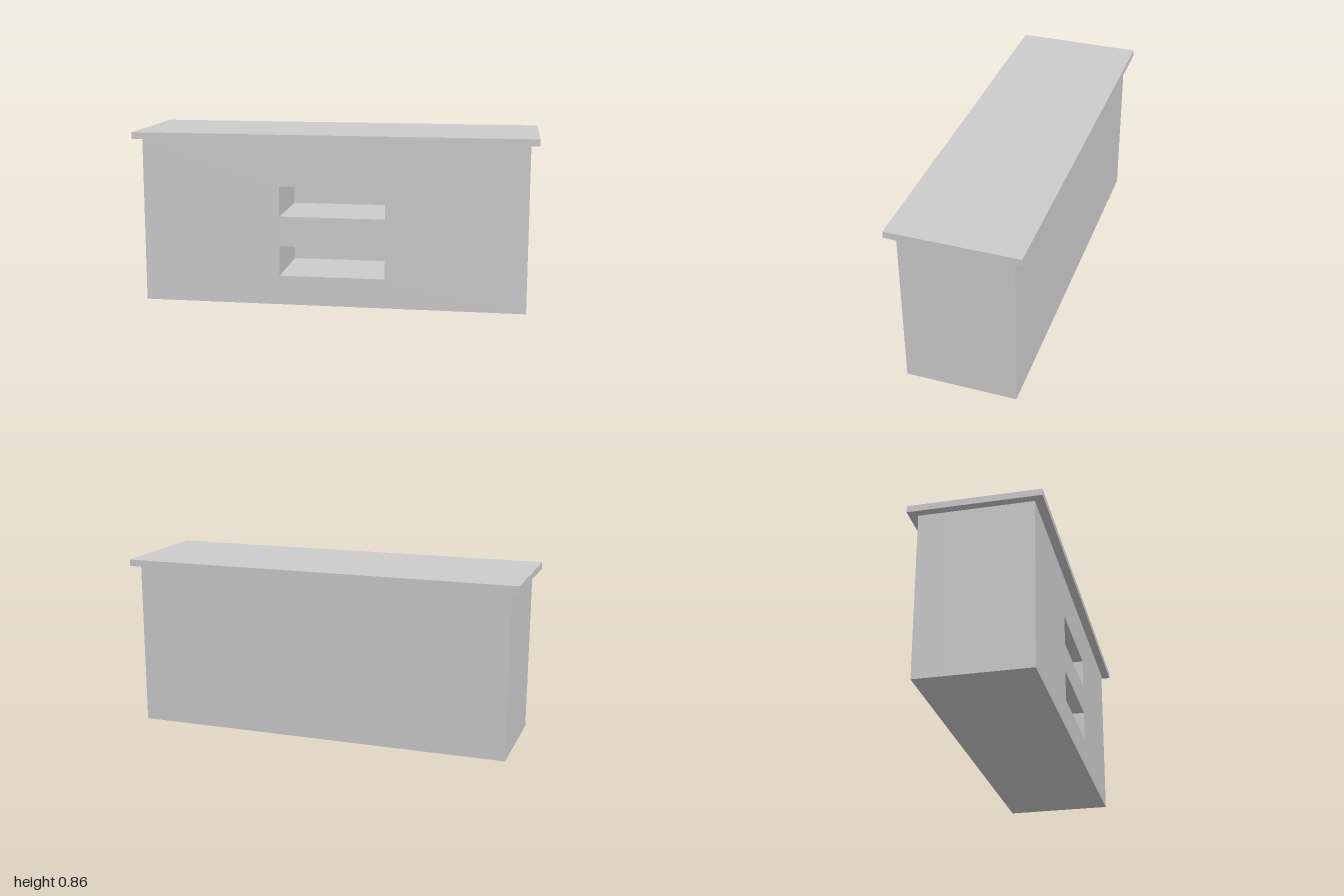
import * as THREE from 'three';

const BODY = { w: 1.92, h: 0.83, d: 0.55 };
const TOP = { w: 2, h: 0.033, d: 0.636 };
const SLOT = { w: 0.53, h: 0.152, d: 0.4, bottoms: [0.148, 0.45] };

// Rectangle outline standing on y, centred on x = 0
function rectangle(PathType, w, h, y) {
  return new PathType([
    new THREE.Vector2(-w / 2, y),
    new THREE.Vector2(w / 2, y),
    new THREE.Vector2(w / 2, y + h),
    new THREE.Vector2(-w / 2, y + h),
  ]);
}

export function createModel() {
  const group = new THREE.Group();
  const material = new THREE.MeshStandardMaterial({ color: 0xcccccc, flatShading: true });

  function add(name, geometry, x, y, z) {
    const mesh = new THREE.Mesh(geometry, material);
    mesh.name = name;
    mesh.position.set(x, y, z);
    group.add(mesh);
  }

  // Cabinet front section, pierced by the two shelf openings
  const outline = rectangle(THREE.Shape, BODY.w, BODY.h, 0);
  outline.holes = SLOT.bottoms.map((y) => rectangle(THREE.Path, SLOT.w, SLOT.h, y));
  const frontGeometry = new THREE.ExtrudeGeometry(outline, { depth: SLOT.d, bevelEnabled: false });
  add('cabinetBody', frontGeometry, 0, 0, BODY.d / 2 - SLOT.d);

  // Solid back section that closes the openings
  const backDepth = BODY.d - SLOT.d;
  add('cabinetBack', new THREE.BoxGeometry(BODY.w, BODY.h, backDepth), 0, BODY.h / 2, (backDepth - BODY.d) / 2);

  // Overhanging counter slab
  add('countertop', new THREE.BoxGeometry(TOP.w, TOP.h, TOP.d), 0, BODY.h + TOP.h / 2, 0);

  return group;
}
